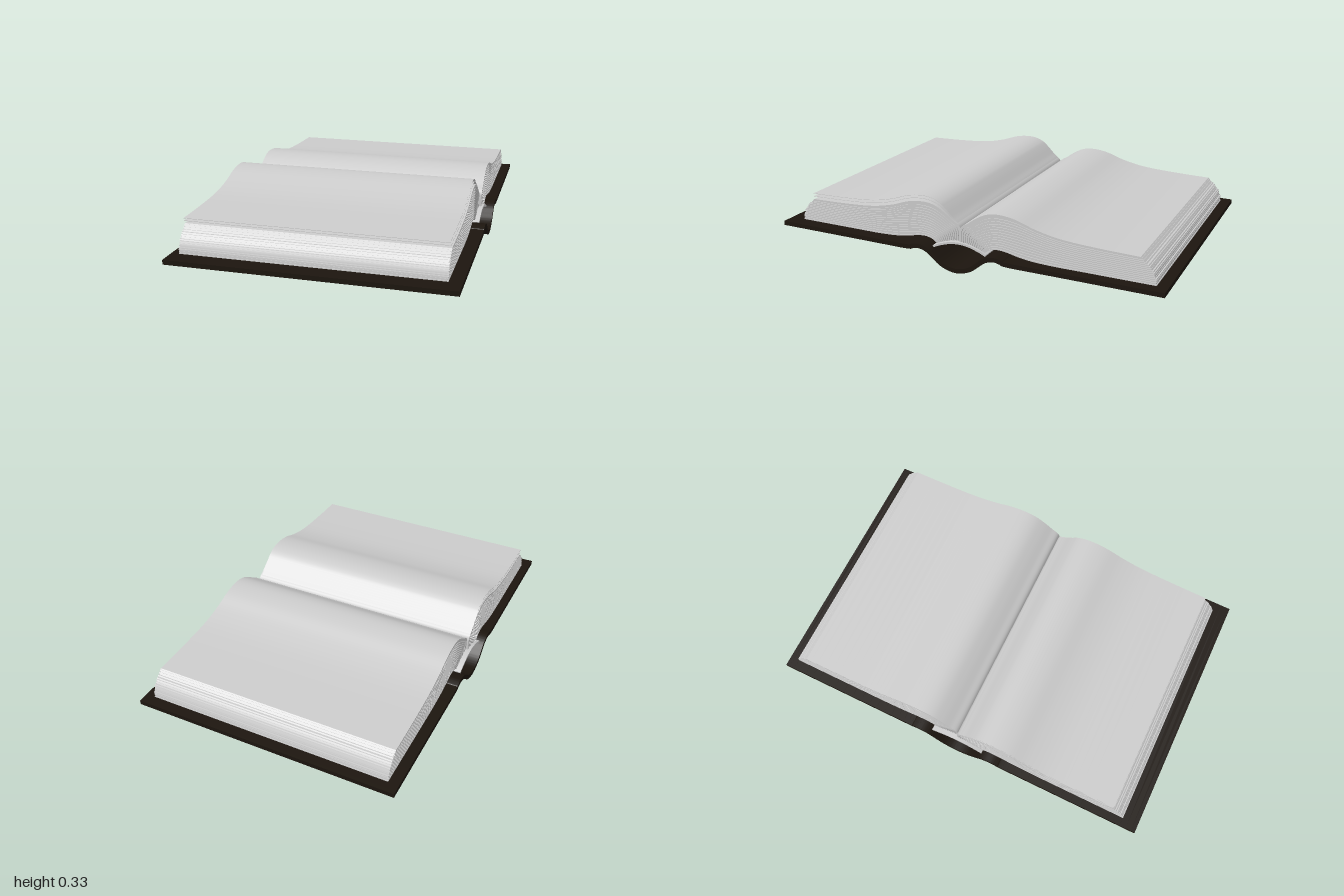
import * as THREE from 'three';
import { mergeGeometries, toCreasedNormals } from 'three/addons/utils/BufferGeometryUtils.js';

const paper = new THREE.MeshStandardMaterial({ color: 0xcccccc, side: THREE.DoubleSide });
const board = new THREE.MeshStandardMaterial({ color: 0x1c150e });

// Smooth curve through [z, y] points
const curve = (pts, n) =>
  new THREE.SplineCurve(pts.map(([z, y]) => new THREE.Vector2(z, y))).getPoints(n);

// Solid between two side-profile curves, stretched from x0 to x1
function prism(lower, upper, x0, x1) {
  const shape = new THREE.Shape([...lower, ...upper.slice().reverse()]);
  const geo = new THREE.ExtrudeGeometry(shape, { depth: x1 - x0, bevelEnabled: false });
  geo.rotateY(-Math.PI / 2);
  geo.translate(x1, 0, 0);
  return geo;
}

// Bent sheet of even thickness, centred on a path
function ribbon(path, thickness, x0, x1) {
  const offset = (s) => path.map((p, i) => {
    const a = path[Math.max(i - 1, 0)], b = path[Math.min(i + 1, path.length - 1)];
    const d = b.clone().sub(a).normalize();
    return new THREE.Vector2(p.x - d.y * s, p.y + d.x * s);
  });
  return prism(offset(-thickness / 2), offset(thickness / 2), x0, x1);
}

function addMesh(group, name, geo, material) {
  const mesh = new THREE.Mesh(toCreasedNormals(geo, 0.6), material);
  mesh.name = name;
  group.add(mesh);
}

// Lowest and topmost leaf of a half, from the binding to the fore edge
const LOW = [[0.13, 0.107], [0.15, 0.122], [0.17, 0.13], [0.2, 0.134], [0.24, 0.13],
  [0.3, 0.117], [0.37, 0.108], [0.47, 0.104], [0.6, 0.104], [0.75, 0.104], [0.92, 0.104]];
const TOP = [[0.0, 0.14], [0.003, 0.208], [0.045, 0.24], [0.09, 0.272], [0.14, 0.298],
  [0.2, 0.307], [0.28, 0.297], [0.38, 0.264], [0.5, 0.24], [0.67, 0.229], [0.845, 0.224]];

// Leaf at height t (0 bottom, 1 top); reach moves its fore edge
function leaf(t, side, reach) {
  const pts = LOW.map(([z, y], i) => {
    const k = i / (LOW.length - 1);
    const bulge = 0.02 * Math.sin(Math.PI * t) + reach;
    return [z + (TOP[i][0] - z) * t + bulge * k ** 3, y + (TOP[i][1] - y) * t];
  });
  return curve(pts, 48).map((p) => new THREE.Vector2(p.x * side, p.y));
}

// Stack of leaves with slightly uneven edges
function pageBlock(side, x0, x1, reach) {
  const count = 28, layers = [];
  for (let i = 0; i < count; i++) {
    const inset = i % 2 && i < count - 1 ? 0.005 : 0;
    const r = reach - inset + 0.002 * Math.sin(i * 2.3);
    layers.push(prism(leaf(i / count, side, r), leaf((i + 1) / count, side, r), x0 + inset, x1 - inset));
  }
  return mergeGeometries(layers);
}

export function createModel() {
  const book = new THREE.Group();
  book.name = 'openBook';

  // Cover: two flat boards, raised hinges and a rounded hollow spine
  const half = [[1, 0.09], [0.8, 0.09], [0.5, 0.09], [0.27, 0.09], [0.235, 0.097], [0.205, 0.103],
    [0.175, 0.099], [0.145, 0.086], [0.115, 0.062], [0.08, 0.035], [0.04, 0.018]];
  const coverPath = [...half, [0, 0.012], ...half.map(([z, y]) => [-z, y]).reverse()].reverse();
  addMesh(book, 'cover', ribbon(curve(coverPath, 132), 0.022, -0.66, 0.66), board);

  // Binding strip arched over the spine
  const arch = [[-0.14, 0.098], [-0.1, 0.115], [-0.05, 0.13], [0, 0.135],
    [0.05, 0.13], [0.1, 0.115], [0.14, 0.098]];
  addMesh(book, 'bindingStrip', ribbon(curve(arch, 24), 0.01, -0.635, 0.622), paper);

  // Page blocks
  addMesh(book, 'frontPages', pageBlock(1, -0.62, 0.6, 0), paper);
  addMesh(book, 'backPages', pageBlock(-1, -0.61, 0.612, 0.03), paper);

  // Loose leaves lifting off the front half
  [0.013, 0.026].forEach((lift, i) => {
    const path = leaf(1, 1, 0.004 * i).slice(6)
      .map((p, j) => new THREE.Vector2(p.x + 0.004, p.y + lift * Math.min(1, j / 10)));
    addMesh(book, 'looseLeaf' + (i + 1), ribbon(path, 0.002, -0.62, 0.595 - 0.004 * i), paper);
  });
  return book;
}
